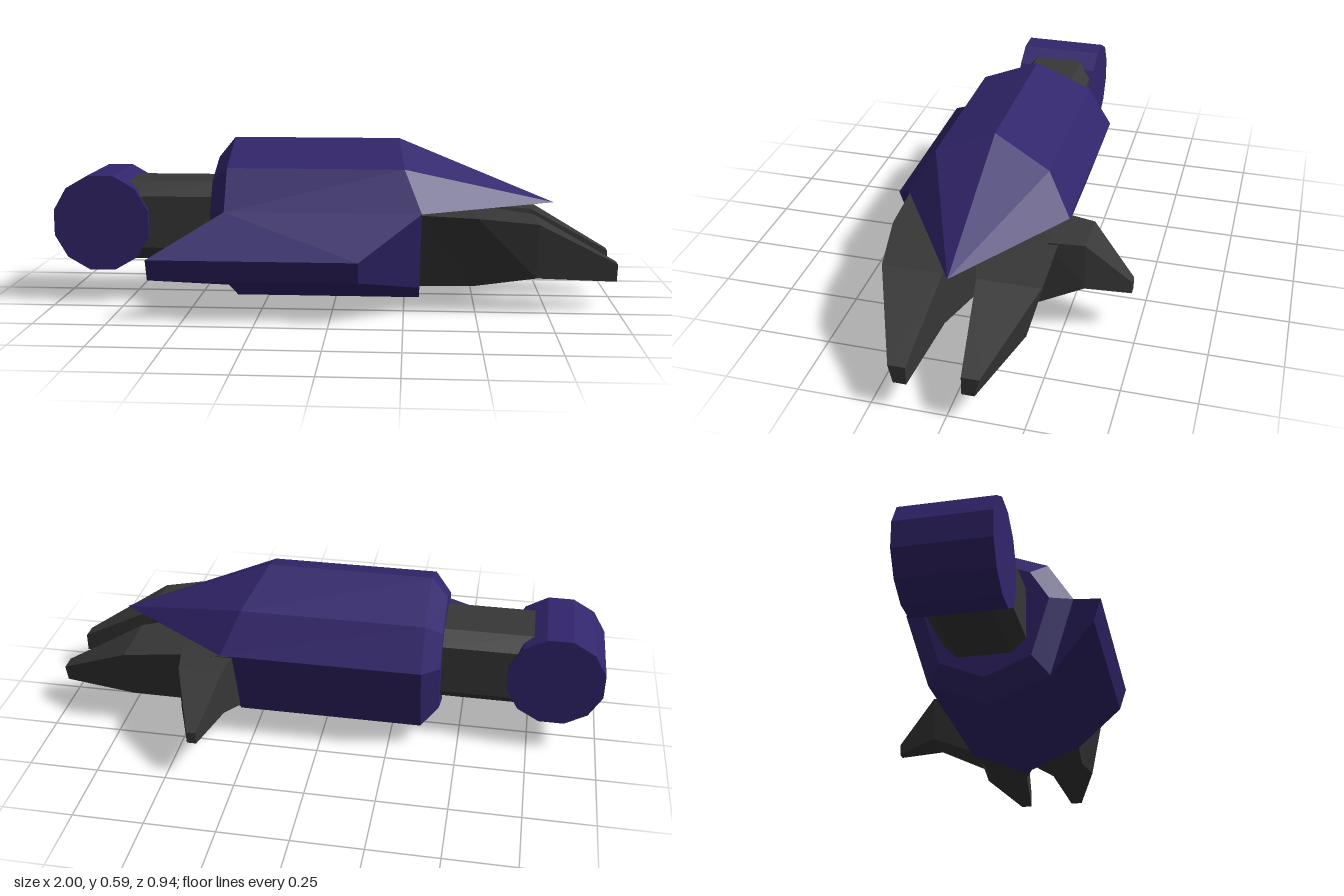
import * as THREE from 'three';

const purple = new THREE.MeshStandardMaterial({ color: 0x32256c, flatShading: true });
purple.name = 'purple armour';
const grey = new THREE.MeshStandardMaterial({ color: 0x373737, flatShading: true });
grey.name = 'dark grey';

// Skin a closed solid over loops of [x, y, z] points, with both ends capped.
function loft(name, material, sections) {
  const pos = [];
  const tri = (a, b, c) => {
    const area = new THREE.Triangle(...[a, b, c].map(p => new THREE.Vector3(...p))).getArea();
    if (area > 1e-7) pos.push([a, b, c]);
  };
  const n = sections[0].length;
  for (let s = 0; s < sections.length - 1; s++) {
    for (let i = 0; i < n; i++) {
      const j = (i + 1) % n, A = sections[s], B = sections[s + 1];
      tri(A[i], A[j], B[j]);
      tri(A[i], B[j], B[i]);
    }
  }
  const first = sections[0], last = sections[sections.length - 1];
  for (let i = 1; i < n - 1; i++) {
    tri(first[0], first[i + 1], first[i]);
    tri(last[0], last[i], last[i + 1]);
  }
  // Turn the faces outward if the enclosed volume comes out negative.
  let volume = 0;
  for (const t of pos) {
    const [a, b, c] = t.map(p => new THREE.Vector3(...p));
    volume += a.dot(b.cross(c));
  }
  if (volume < 0) pos.forEach(t => t.reverse());
  const geo = new THREE.BufferGeometry();
  geo.setAttribute('position', new THREE.Float32BufferAttribute(pos.flat(2), 3));
  geo.computeVertexNormals();
  const mesh = new THREE.Mesh(geo, material);
  mesh.name = name;
  return mesh;
}

// Give a [y, z] outline one x, or one x per point.
const at = (xs, outline) => outline.map(([y, z], i) => [Array.isArray(xs) ? xs[i] : xs, y, z]);
const shrink = (outline, k) => outline.map(([y, z]) => [0.295 + (y - 0.295) * k, 0.055 + (z - 0.055) * k]);

// Four-sided finger section: top y, bottom y, inner z, outer z at top and at bottom.
const quad = (x, top, bottom, inner, outTop, outBottom) =>
  at(x, [[top, inner], [top, outTop], [bottom, outBottom], [bottom, inner]]);

export function createModel() {
  const model = new THREE.Group();
  model.name = 'mechanicalForearm';

  // Forearm armour: upper shell running out to a point, lower shell cut flat
  const upper = [[0.365, 0.35], [0.505, 0.265], [0.59, 0.055], [0.505, -0.152], [0.365, -0.238]];
  const lower = [[0.365, 0.35], [0.09, 0.265], [0.002, 0.055], [0.09, -0.152], [0.365, -0.238]];
  const tip = upper.map(() => [0.785, 0.362, 0.055]);
  model.add(loft('upperShell', purple, [
    at(-0.425, shrink(upper, 0.75)), at(-0.365, upper),
    at([0.31, 0.25, 0.228, 0.29, 0.35], upper), tip,
  ]));
  model.add(loft('lowerShell', purple, [
    at(-0.425, shrink(lower, 0.75)), at(-0.365, lower), at(0.305, lower),
  ]));

  // Swept side guard
  const guard = [[0.365, 0.35], [0.22, 0.47], [0.145, 0.445], [0.09, 0.265]];
  model.add(loft('sideGuard', purple, [
    at([-0.365, -0.615, -0.615, -0.365], guard),
    at([0.31, 0.1, 0.1, 0.305], guard),
  ]));

  // Upper arm with chamfered edges
  const h = 0.142, c = 0.093;
  const arm = [[h, c], [h, -c], [c, -h], [-c, -h], [-h, -c], [-h, c], [-c, h], [c, h]]
    .map(([y, z]) => [y + 0.298, z + 0.055]);
  model.add(loft('armLink', grey, [at(-0.75, arm), at(-0.4, arm)]));

  // Elbow drum, flat side up
  const drum = new THREE.CylinderGeometry(0.176, 0.176, 0.31, 12);
  drum.rotateY(Math.PI / 12).rotateX(Math.PI / 2);
  const elbow = new THREE.Mesh(drum, purple);
  elbow.name = 'elbowDrum';
  elbow.position.set(-0.83, 0.295, 0.055);
  model.add(elbow);

  // Two claw fingers side by side
  model.add(loft('frontFinger', grey, [
    quad(0.3, 0.36, 0.095, 0.055, 0.345, 0.262),
    quad(0.5, 0.35, 0.095, 0.06, 0.34, 0.245),
    quad(0.71, 0.325, 0.128, 0.096, 0.302, 0.26),
    quad(1, 0.165, 0.1, 0.128, 0.186, 0.172),
  ]));
  model.add(loft('backFinger', grey, [
    quad(0.3, 0.36, 0.095, 0.055, -0.232, -0.15),
    quad(0.5, 0.35, 0.095, 0.05, -0.232, -0.135),
    quad(0.71, 0.325, 0.128, -0.016, -0.23, -0.18),
    quad(1, 0.165, 0.1, -0.05, -0.108, -0.092),
  ]));

  // Thumb claw pointing out to the back
  const thumbRing = (x0, x1, top, bottom, zTop, zBottom) =>
    [[x0, top, zTop], [x1, top, zTop], [x1, bottom, zBottom], [x0, bottom, zBottom]];
  model.add(loft('thumb', grey, [
    thumbRing(0.305, 0.5, 0.357, 0.1, -0.2, -0.145),
    thumbRing(0.322, 0.478, 0.35, 0.18, -0.32, -0.32),
    thumbRing(0.385, 0.418, 0.19, 0.146, -0.472, -0.472),
  ]));

  return model;
}
